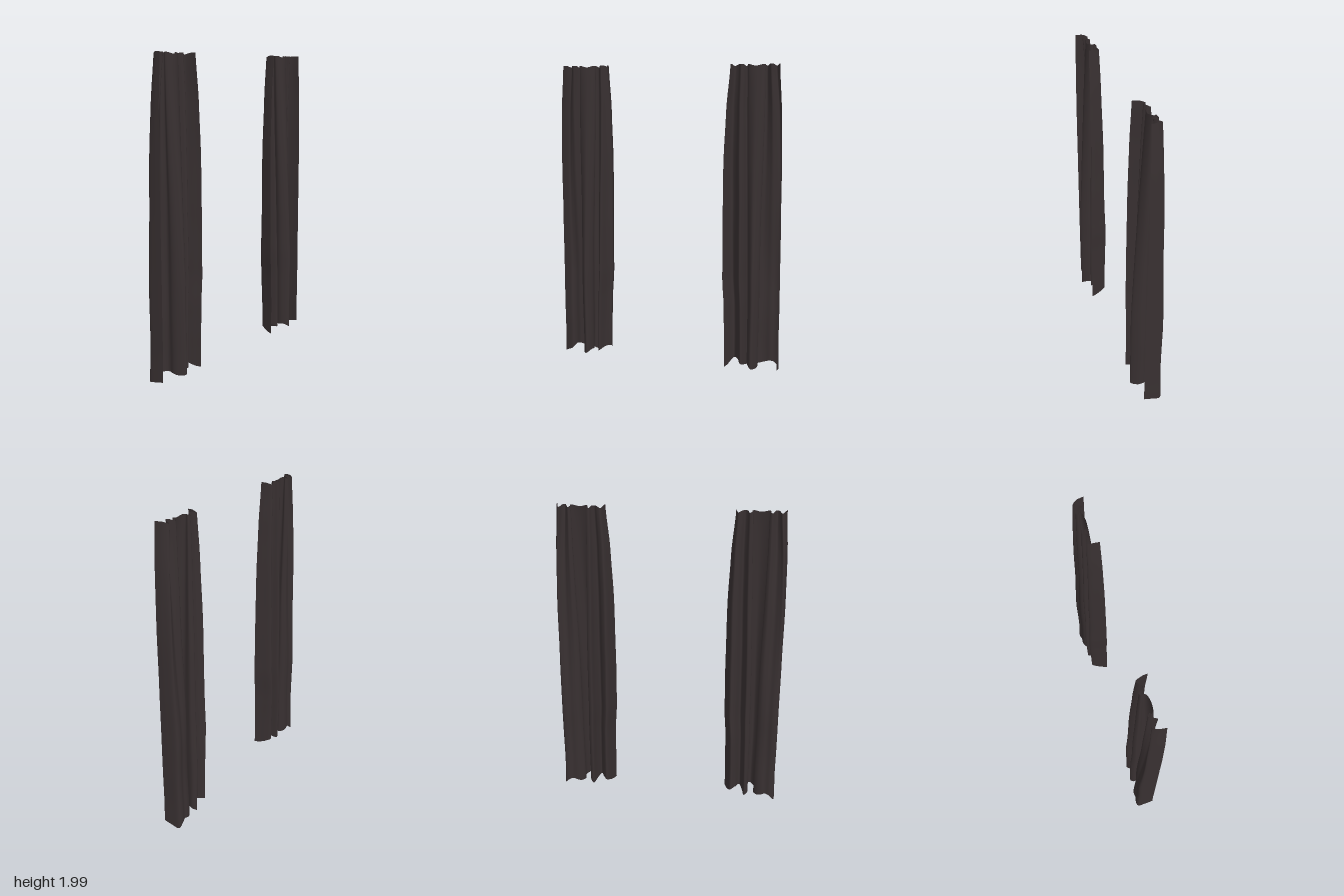
import * as THREE from 'three';

// Pleat sections [x, z], from the inner edge to the outer edge
const TOP = [[.41, .038], [.414, .005], [.427, -.034], [.45, -.026], [.468, -.008], [.485, -.02], [.497, -.04],
  [.515, -.034], [.51, -.018], [.522, -.004], [.565, .006], [.612, -.002], [.624, -.014], [.617, -.024], [.632, -.036],
  [.648, -.012], [.66, .008], [.675, -.006], [.69, -.036], [.71, -.01], [.72, .038]];
const LOW = [[.382, .05], [.398, .005], [.43, -.066], [.458, -.035], [.49, .032], [.512, -.01], [.53, -.068],
  [.558, -.045], [.541, .015], [.546, .045], [.575, .083], [.606, .045], [.613, .01], [.6, -.035], [.622, -.062],
  [.65, -.07], [.68, -.068], [.71, -.076], [.738, -.066], [.743, -.01], [.742, .043]];
// Height of the hem under each section point
const HEM = [.02, .025, .055, .06, .045, .03, .02, .04, .05, .055, .035, .03, .035, .035, .035, .042, .05, .04, .008, .018, .028];

// Inner and outer edge shift by height: [y, inner, outer]
const EDGE = [[0, .012, .002], [.2, .01, -.002], [.4, .006, 0], [.65, -.008, 0], [1.0, -.014, .003],
  [1.4, -.019, .009], [1.7, -.014, .009], [2, 0, 0]];

function edgeShift(y, k) {
  let i = 0;
  while (i < EDGE.length - 2 && y > EDGE[i + 1][0]) i++;
  const t = (y - EDGE[i][0]) / (EDGE[i + 1][0] - EDGE[i][0]);
  return THREE.MathUtils.lerp(EDGE[i][k], EDGE[i + 1][k], THREE.MathUtils.smoothstep(t, 0, 1));
}

// Pleated cloth lofted from the gathered top to the open folds below
function curtainGeometry(side) {
  const cols = 120, rows = 48, pos = [], index = [];
  const curve = pts => new THREE.CatmullRomCurve3(pts, false, 'centripetal');
  const top = curve(TOP.map(([x, z], i) => new THREE.Vector3(x, i % 4 === 2 ? 1.99 : 2, z)));
  const low = curve(LOW.map(([x, z], i) => new THREE.Vector3(x, HEM[i], z)));
  for (let r = 0; r <= rows; r++) {
    const v = r / rows;
    const spreadX = 1 - Math.pow(1 - v, 2.6);
    const spreadZ = Math.min(1, Math.pow(v / .7, .78));
    for (let c = 0; c <= cols; c++) {
      const u = c / cols, a = top.getPoint(u), b = low.getPoint(u);
      // the hem waves fade out a little above the floor
      const y = 2 * (1 - v) + (a.y - 2) * Math.pow(1 - v, 12) + b.y * Math.pow(v, 10);
      const across = ((a.x + b.x) / 2 - .4) / .33;
      const x = THREE.MathUtils.lerp(a.x, b.x, spreadX)
        + edgeShift(y, 1) * Math.max(0, 1 - across * 1.6)
        + edgeShift(y, 2) * Math.max(0, across * 1.6 - .6)
        + .003 * Math.sin(y * 5 + u * 9) * Math.sin(Math.PI * u) * v;
      const z = THREE.MathUtils.lerp(a.z, b.z, spreadZ)
        + (b.z < -.03 ? .004 * Math.sin(y * 8 + u * 6) * v : 0);
      pos.push(x * side, y, z);
    }
  }
  for (let r = 0; r < rows; r++) {
    for (let c = 0; c < cols; c++) {
      const a = r * (cols + 1) + c, b = a + cols + 1;
      if (side > 0) index.push(a, b, a + 1, a + 1, b, b + 1);
      else index.push(a, a + 1, b, a + 1, b + 1, b);
    }
  }
  const g = new THREE.BufferGeometry();
  g.setAttribute('position', new THREE.Float32BufferAttribute(pos, 3));
  g.setIndex(index);
  g.computeVertexNormals();
  return g;
}

export function createModel() {
  const model = new THREE.Group();
  model.name = 'curtains';
  const cloth = new THREE.MeshStandardMaterial({ color: 0x383031, side: THREE.DoubleSide });
  cloth.name = 'dark brown cloth';
  for (const [name, side] of [['leftCurtain', 1], ['rightCurtain', -1]]) {
    const curtain = new THREE.Mesh(curtainGeometry(side), cloth);
    curtain.name = name;
    model.add(curtain);
  }
  return model;
}
